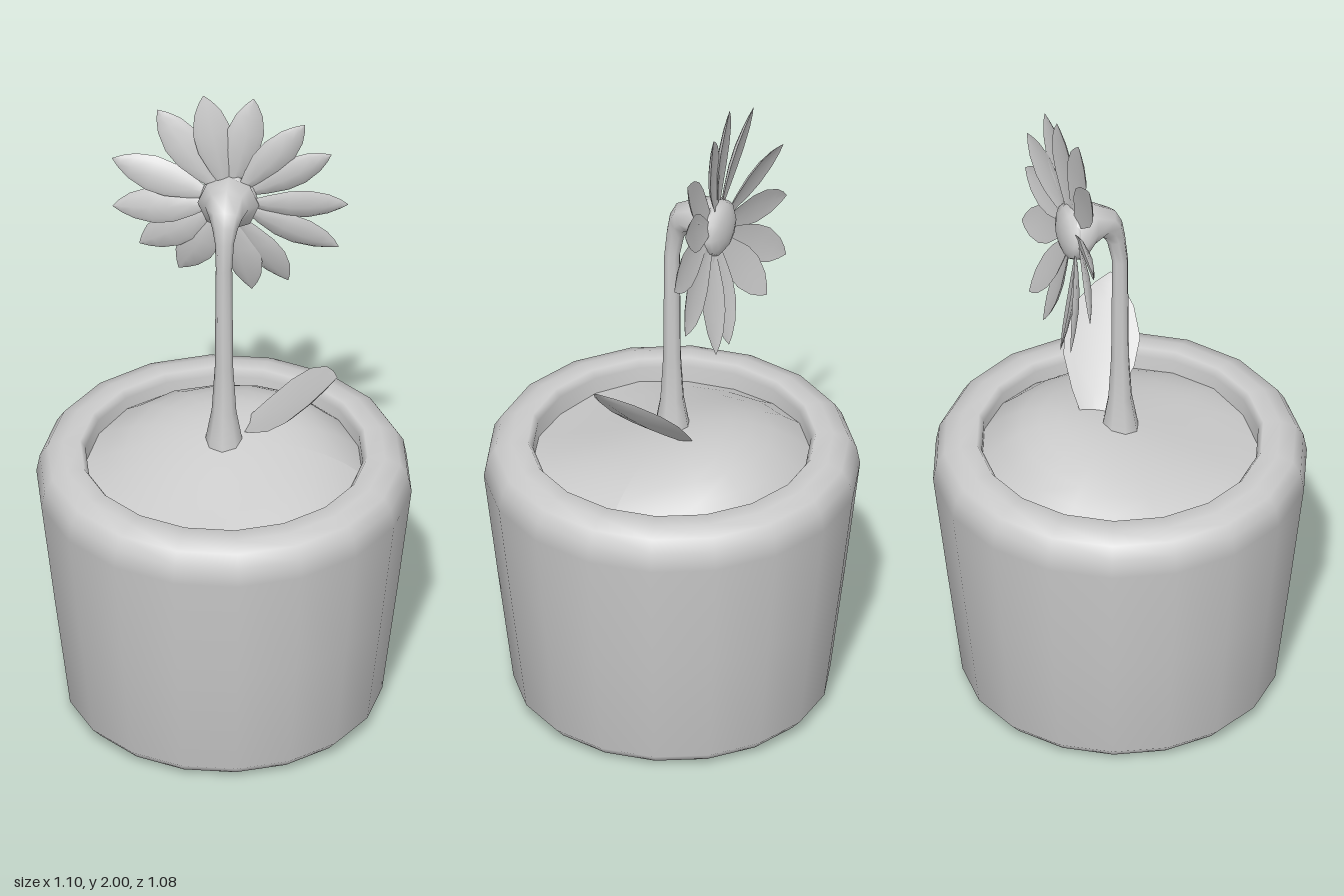
import * as THREE from 'three';
import { toCreasedNormals } from 'three/addons/utils/BufferGeometryUtils.js';

const V = (x, y, z) => new THREE.Vector3(x, y, z);
const material = new THREE.MeshStandardMaterial({ color: 0xcccccc, side: THREE.DoubleSide });

function part(name, geometry) {
  const mesh = new THREE.Mesh(geometry, material);
  mesh.name = name;
  return mesh;
}

// Skin over closed rings that have equal point counts
function loft(rings) {
  const n = rings[0].length, index = [];
  for (let i = 0; i < rings.length - 1; i++) {
    for (let j = 0; j < n; j++) {
      const a = i * n + j, b = i * n + (j + 1) % n;
      index.push(a, b, a + n, b, b + n, a + n);
    }
  }
  const geo = new THREE.BufferGeometry().setFromPoints(rings.flat());
  geo.setIndex(index);
  geo.computeVertexNormals();
  return geo;
}

// Thin pointed blade from base to tip; bow bends its length, cup curls its edges
function blade({ base, tip, side, width, thick, bow, cup }) {
  const dir = tip.clone().sub(base).normalize();
  const s = side.clone().addScaledVector(dir, -side.dot(dir)).normalize();
  const normal = dir.clone().cross(s);
  const outline = [[0, 0.22], [0.18, 0.6], [0.4, 0.95], [0.6, 1], [0.8, 0.72], [0.92, 0.36], [1, 0.02]];
  const rings = outline.map(([t, w]) => {
    const centre = base.clone().lerp(tip, t).addScaledVector(normal, bow * Math.sin(Math.PI * t));
    return Array.from({ length: 8 }, (_, k) => {
      const a = k * Math.PI / 4, c = Math.cos(a);
      return centre.clone()
        .addScaledVector(s, c * w * width)
        .addScaledVector(normal, w * (Math.sin(a) * thick + c * c * cup));
    });
  });
  return toCreasedNormals(loft(rings), 1.1);
}

function makePot() {
  const profile = [[0, 0.005], [0.37, 0.005], [0.435, 0.02], [0.462, 0.05], [0.506, 0.4], [0.548, 0.75],
    [0.538, 0.805], [0.515, 0.842], [0.47, 0.86], [0.42, 0.863], [0.405, 0.842], [0.4, 0.7]];
  const points = profile.map(([r, y]) => new THREE.Vector2(r, y));
  return part('pot', new THREE.LatheGeometry(points, 18, Math.PI / 2));
}

// Uneven mound, higher toward the back
function makeSoil() {
  const geo = new THREE.RingGeometry(0.001, 0.408, 18, 7).rotateX(-Math.PI / 2);
  const p = geo.attributes.position;
  for (let i = 0; i < p.count; i++) {
    const x = p.getX(i), z = p.getZ(i), t = Math.hypot(x, z) / 0.42;
    const slope = (0.08 * x - 0.24 * z) * (1 - t * t);
    const lumps = 0.008 * Math.sin(11 * x + 2) * Math.cos(9 * z);
    p.setY(i, 0.785 + 0.11 * (1 - t ** 3) + slope + lumps);
  }
  geo.computeVertexNormals();
  return part('soil', geo);
}

// Upright stem that hooks backward and flares into the flower
function makeStem() {
  // [y, z, radius, lean in degrees]
  const stations = [[0.86, 0, 0.06, 0], [0.91, 0, 0.052, 0], [1.0, 0, 0.036, 0], [1.15, 0, 0.027, 0],
    [1.5, 0, 0.024, 0], [1.58, -0.012, 0.028, 15], [1.62, -0.025, 0.037, 33], [1.645, -0.045, 0.048, 52],
    [1.655, -0.085, 0.064, 85], [1.637, -0.13, 0.09, 92], [1.637, -0.15, 0.085, 90]];
  const rings = stations.map(([y, z, r, lean]) => {
    const a = THREE.MathUtils.degToRad(lean);
    return Array.from({ length: 8 }, (_, k) => {
      const q = k * Math.PI / 4, v = -r * Math.sin(q);
      return V(r * Math.cos(q), y + v * Math.sin(a), z + v * Math.cos(a));
    });
  });
  return part('stem', loft(rings));
}

function makeFlower() {
  const flower = new THREE.Group();
  flower.name = 'flower';
  const cx = 0, cy = 1.637;
  // Seed disc on the back-facing side of the bloom
  const disc = part('flowerCentre', new THREE.SphereGeometry(1, 10, 8).rotateX(Math.PI / 2));
  disc.scale.set(0.088, 0.088, 0.04);
  disc.position.set(cx, cy, -0.15);
  flower.add(disc);
  // Petal tips
  const tips = [[-0.075, 2.0, -0.15], [0.07, 1.985, -0.17], [0.22, 1.91, -0.16], [0.295, 1.79, -0.19],
    [0.345, 1.625, -0.18], [0.315, 1.46, -0.2], [0.165, 1.315, -0.225], [0.06, 1.285, -0.215],
    [-0.155, 1.335, -0.23], [-0.27, 1.41, -0.235], [-0.345, 1.56, -0.2], [-0.345, 1.735, -0.19],
    [-0.21, 1.935, -0.16]];
  tips.forEach(([x, y, z], i) => {
    const a = Math.atan2(y - cy, x - cx);
    flower.add(part('petal' + (i + 1), blade({
      base: V(cx + 0.06 * Math.cos(a), cy + 0.06 * Math.sin(a), -0.142 - 0.008 * (i % 2)),
      tip: V(x, y, z),
      side: V(-Math.sin(a), Math.cos(a), 0.22),
      width: 0.056, thick: 0.006, bow: 0.012, cup: -0.012,
    })));
  });
  return flower;
}

export function createModel() {
  const model = new THREE.Group();
  model.name = 'pottedFlower';
  const leaf = part('leaf', blade({
    base: V(0.05, 0.895, -0.075), tip: V(0.338, 1.19, 0.078), side: V(0.28, 0.28, -0.92),
    width: 0.112, thick: 0.008, bow: -0.012, cup: 0.018,
  }));
  model.add(makePot(), makeSoil(), makeStem(), leaf, makeFlower());
  return model;
}
